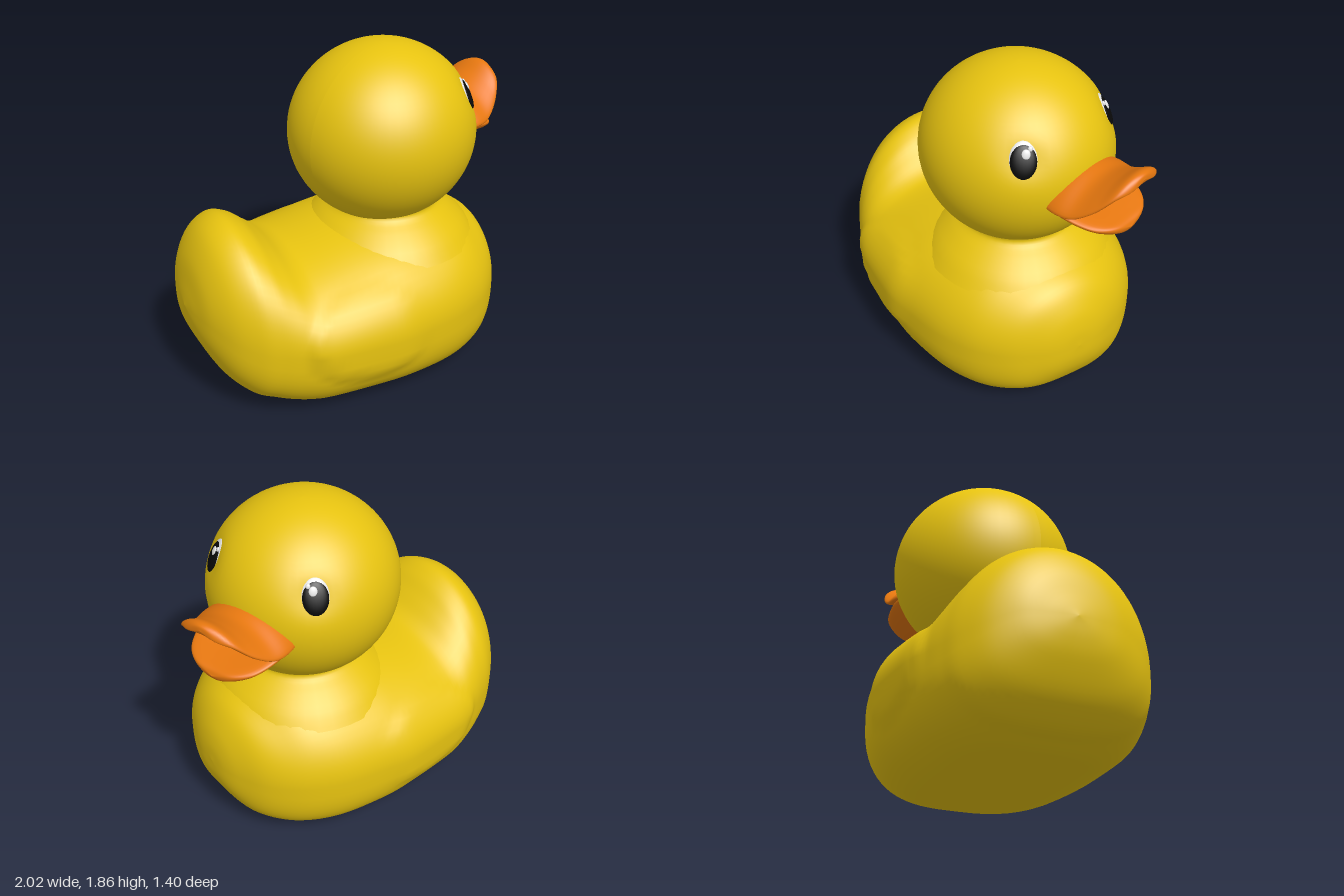
import * as THREE from 'three';

const mat = (name, color) => Object.assign(new THREE.MeshStandardMaterial({ color }), { name });

// Skin over cross-sections: rows are interpolated smoothly along x,
// ring(row, angle) gives [x, y, z] of a point on one section.
function loft(rows, steps, sides, ring) {
  const curveA = new THREE.CatmullRomCurve3(rows.map(r => new THREE.Vector3(r[0], r[1], r[2])), false, 'catmullrom', 0.5);
  const curveB = new THREE.CatmullRomCurve3(rows.map(r => new THREE.Vector3(r[3], r[4], 0)), false, 'catmullrom', 0.5);
  const pos = [], index = [];
  for (let i = 0; i <= steps; i++) {
    const a = curveA.getPoint(i / steps), b = curveB.getPoint(i / steps);
    for (let j = 0; j < sides; j++) {
      pos.push(...ring([a.x, a.y, a.z, b.x, b.y], (j / sides) * Math.PI * 2));
      if (i === steps) continue;
      const k = (j + 1) % sides, p = i * sides, q = p + sides;
      index.push(p + j, q + j, q + k, p + j, q + k, p + k);
    }
  }
  const g = new THREE.BufferGeometry();
  g.setAttribute('position', new THREE.Float32BufferAttribute(pos, 3));
  g.setIndex(index);
  g.computeVertexNormals();
  return g;
}

// Body sections: x, bottom, top, height of widest point, half width
const BODY = [
  [-1, .55, .55, .55, 0], [-.985, .44, .66, .55, .14], [-.95, .33, .82, .55, .28],
  [-.87, .18, .96, .5, .42], [-.76, .07, 1.02, .46, .52], [-.66, .03, .985, .44, .57],
  [-.57, 0, .91, .43, .605], [-.47, -.02, .835, .42, .635], [-.36, -.03, .82, .42, .655],
  [-.1, -.03, .87, .42, .675], [.1, -.03, .9, .42, .675], [.35, -.03, .91, .42, .63],
  [.52, -.01, .89, .42, .565], [.65, .03, .82, .42, .48], [.76, .1, .75, .42, .36],
  [.83, .21, .64, .42, .22], [.862, .31, .53, .42, .11], [.87, .42, .42, .42, 0],
];

function bodyPoint([x, bottom, top, mid, w], t) {
  const c = Math.cos(t), s = Math.sin(t);
  // round above, squarer below, flattened where it rests
  const e = s < 0 ? 2 / 3 : 1;
  const y = s < 0 ? mid - (mid - bottom) * Math.abs(s) ** e : mid + (top - mid) * s;
  let z = Math.sign(c) * w * Math.abs(c) ** e;
  // softly raised wing on each side, fading out towards the chest
  const d = Math.hypot((x + .16) / .4, (y - .46) / .25);
  const wing = (1 - THREE.MathUtils.smoothstep(d, .84, 1.02)) * (1 - THREE.MathUtils.smoothstep(x, -.05, .2));
  z += Math.sign(c) * .022 * wing * Math.min(1, Math.abs(c) * 2);
  return [x, Math.max(0, y), z];
}

// Bill sections: x, half width, middle height, droop at the sides, half thickness
const UPPER_BILL = [
  [.38, .26, 1.4, .1, .06], [.5, .28, 1.4, .1, .06], [.6, .265, 1.4, .09, .055], [.7, .225, 1.445, .07, .05],
  [.78, .165, 1.505, .045, .04], [.82, .09, 1.52, .03, .025], [.83, 0, 1.52, 0, 0],
];
const LOWER_BILL = [
  [.38, .25, 1.24, -.05, .05], [.52, .26, 1.235, -.05, .05], [.62, .235, 1.22, -.04, .045],
  [.7, .19, 1.21, -.03, .04], [.755, .11, 1.205, -.02, .03], [.775, 0, 1.205, 0, 0],
];
const billPoint = ([x, w, mid, droop, h], t) => {
  const c = Math.cos(t);
  return [x, mid - droop * c * c + h * Math.sin(t), w * c];
};

export function createModel() {
  const yellow = mat('yellow', 0xe8c410), orange = mat('orange', 0xe8780f);
  const black = mat('black', 0x0a0a0a), white = mat('white', 0xe4e4e4);
  const model = new THREE.Group();
  model.name = 'bathDuck';
  const add = (parent, name, geometry, material) => {
    const m = new THREE.Mesh(geometry, material);
    m.name = name;
    parent.add(m);
    return m;
  };

  // Body with upturned tail and wings
  add(model, 'body', loft(BODY, 85, 72, bodyPoint), yellow);

  // Pinched neck
  const neck = [[.52, .72], [.46, .8], [.38, .87], [.325, .91], [.305, .94], [.32, .975], [.4, 1.04]];
  const profile = new THREE.SplineCurve(neck.map(p => new THREE.Vector2(...p))).getPoints(18);
  add(model, 'neck', new THREE.LatheGeometry(profile, 40), yellow).position.x = .23;

  // Head, turned a little to its right, with shallow eye sockets
  const head = new THREE.Group();
  head.name = 'head';
  head.position.x = .21;
  head.rotation.y = .28;
  model.add(head);
  const eyeDirs = [1, -1].map(s => new THREE.Vector3(.324, .2, s * .313).normalize());
  const skull = new THREE.SphereGeometry(1, 64, 48);
  const p = skull.attributes.position, v = new THREE.Vector3();
  for (let i = 0; i < p.count; i++) {
    v.fromBufferAttribute(p, i).normalize();
    let k = 1;
    for (const d of eyeDirs) k -= .04 * Math.exp(-((v.angleTo(d) / .19) ** 2));
    p.setXYZ(i, v.x * .53 * k, v.y * .505 * k, v.z * .515 * k);
  }
  skull.computeVertexNormals();
  add(head, 'skull', skull, yellow).position.y = 1.35;

  // Eyes: white rim, black pupil and two glints
  eyeDirs.forEach((d, i) => {
    const eye = new THREE.Group();
    eye.name = i ? 'rightEye' : 'leftEye';
    eye.position.copy(d).multiplyScalar(.496).add(new THREE.Vector3(0, 1.35, 0));
    eye.lookAt(eye.position.clone().add(d));
    head.add(eye);
    const oval = (name, material, x, y, z, rx, ry, rz) => {
      const m = add(eye, name, new THREE.SphereGeometry(1, 24, 16), material);
      m.position.set(x, y, z);
      m.scale.set(rx, ry, rz);
    };
    oval('eyeRim', white, 0, .004, 0, .073, .098, .022);
    oval('pupil', black, 0, -.004, .006, .068, .09, .022);
    oval('glint', white, i ? -.012 : .012, .034, .024, .022, .026, .008);
    oval('smallGlint', white, i ? -.034 : .034, .06, .016, .012, .014, .007);
  });

  // Open bill
  add(head, 'upperBill', loft(UPPER_BILL, 36, 40, billPoint), orange);
  add(head, 'lowerBill', loft(LOWER_BILL, 30, 40, billPoint), orange);
  const mouth = add(head, 'mouth', new THREE.SphereGeometry(1, 24, 16), orange);
  mouth.position.set(.45, 1.31, 0);
  mouth.scale.set(.14, .09, .26);

  return model;
}
